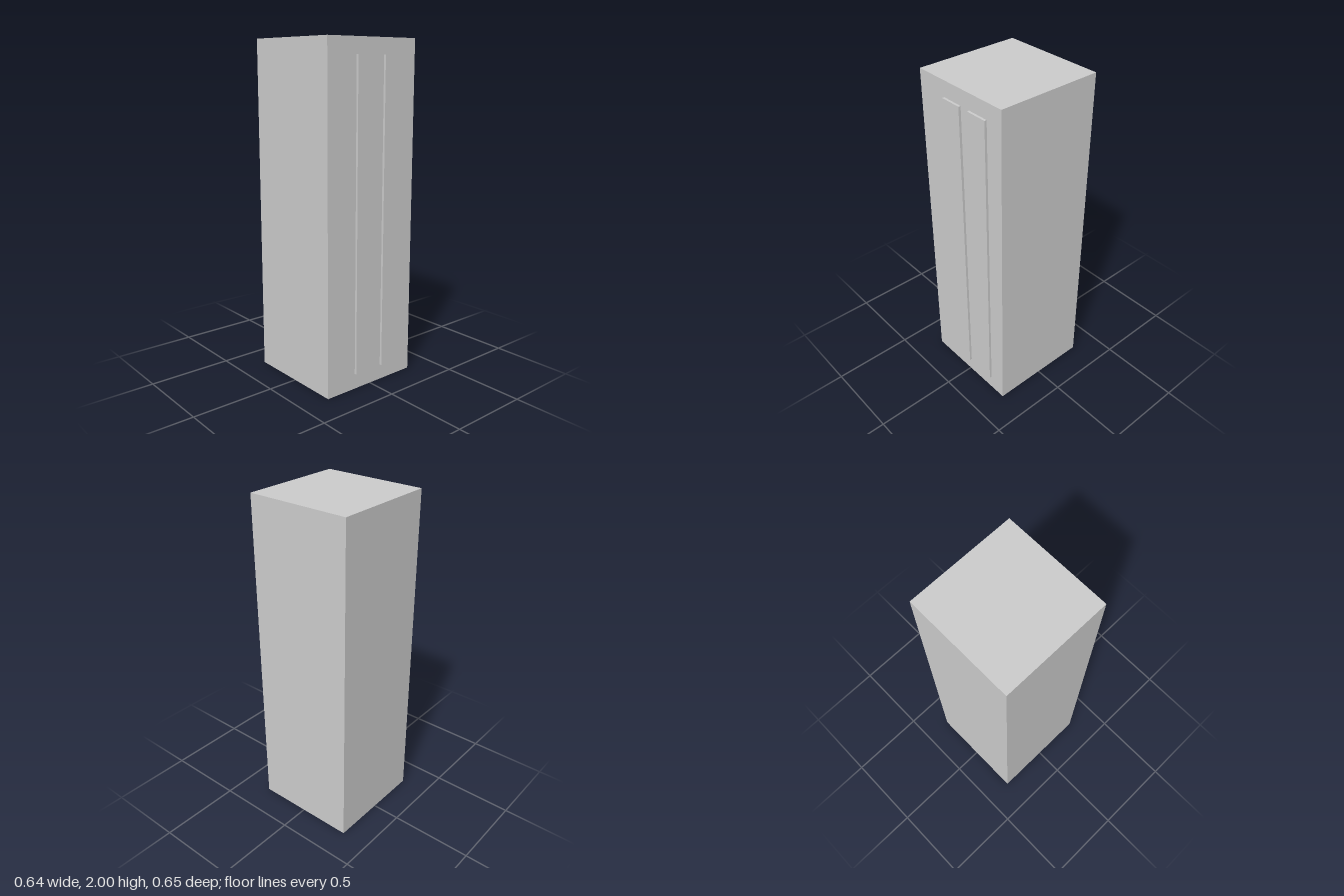
import * as THREE from 'three';

export function createModel() {
  const group = new THREE.Group();
  const material = new THREE.MeshStandardMaterial({ color: 0xcccccc, flatShading: true });

  // Adds a box spanning the given ranges on each axis
  const addBox = (name, [x0, x1], [y0, y1], [z0, z1]) => {
    const mesh = new THREE.Mesh(new THREE.BoxGeometry(x1 - x0, y1 - y0, z1 - z0), material);
    mesh.position.set((x0 + x1) / 2, (y0 + y1) / 2, (z0 + z1) / 2);
    mesh.name = name;
    group.add(mesh);
  };

  // Tall square body
  addBox('body', [-0.32, 0.32], [0, 2], [-0.327, 0.313]);

  // Two thin raised strips on the front, set off centre
  [-0.12, 0.08].forEach((x, i) => {
    addBox(i ? 'leftFrontStrip' : 'rightFrontStrip', [x, x + 0.133], [0.093, 1.907], [0.313, 0.327]);
  });

  return group;
}
